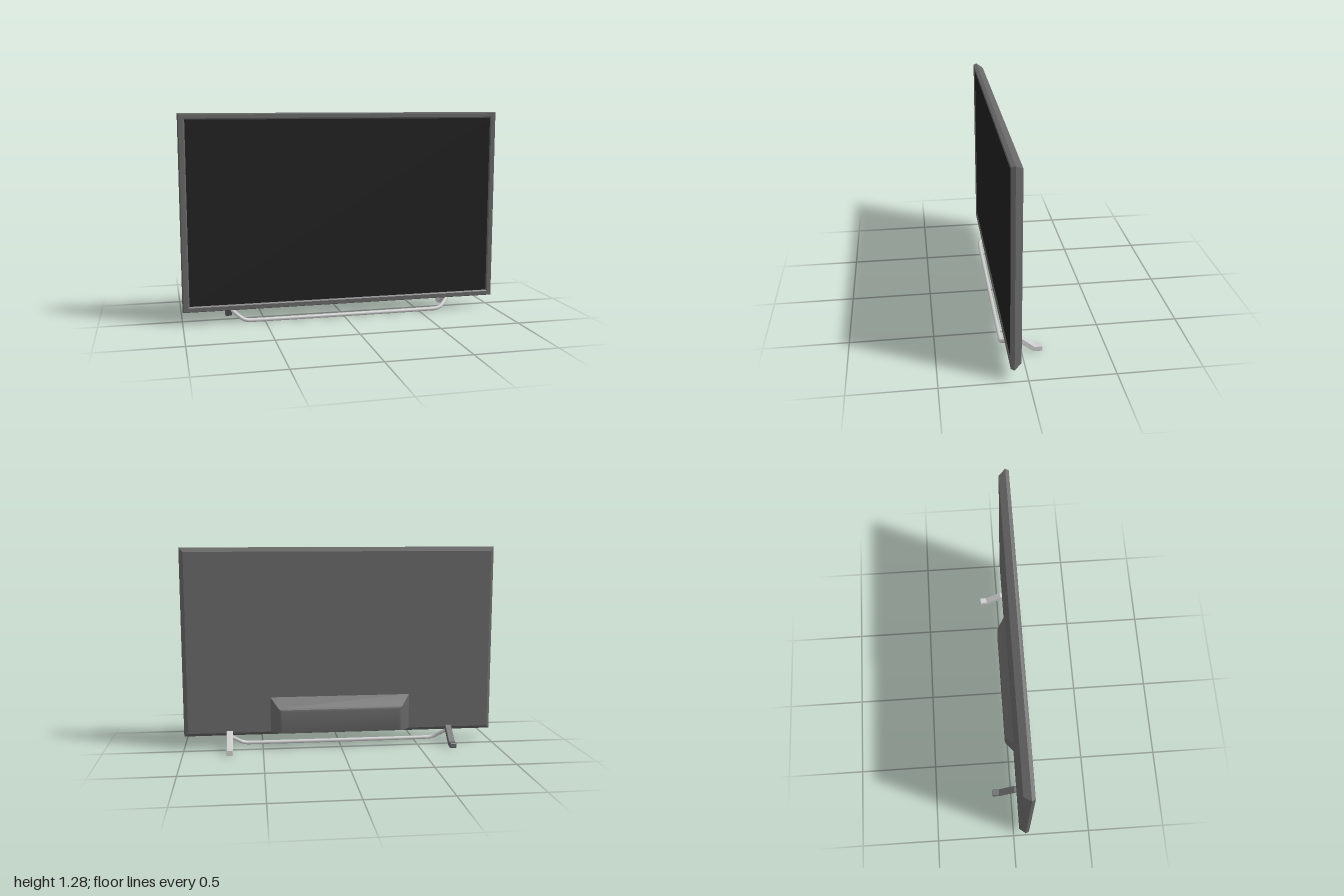
import * as THREE from 'three';
import { toCreasedNormals } from 'three/addons/utils/BufferGeometryUtils.js';

const paint = (color) => new THREE.MeshStandardMaterial({ color });
const darkGrey = paint(0x666666);
const black = paint(0x1e1e1e);
const grey = paint(0xcccccc);

function addMesh(parent, name, geometry, material) {
  const mesh = new THREE.Mesh(geometry, material);
  mesh.name = name;
  parent.add(mesh);
  return mesh;
}

// Joins rectangles [halfWidth, bottom, top, z], listed from back to front
function loftRectangles(rects, { back = false, front = false, crease = 0.1 } = {}) {
  const rings = rects.map(([w, y0, y1, z]) => [[-w, y0, z], [w, y0, z], [w, y1, z], [-w, y1, z]]);
  const positions = [];
  const quad = (a, b, c, d) => positions.push(...a, ...b, ...c, ...a, ...c, ...d);
  for (let i = 0; i < rings.length - 1; i++) {
    for (let k = 0; k < 4; k++) {
      const n = (k + 1) % 4;
      quad(rings[i][k], rings[i][n], rings[i + 1][n], rings[i + 1][k]);
    }
  }
  if (back) quad(...[...rings[0]].reverse());
  if (front) quad(...rings[rings.length - 1]);
  const geometry = new THREE.BufferGeometry();
  geometry.setAttribute('position', new THREE.Float32BufferAttribute(positions, 3));
  return toCreasedNormals(geometry, crease);
}

export function createModel() {
  const model = new THREE.Group();
  model.name = 'television';

  // Casing: chamfered back, thin front bevel, and a lip sloping in to the screen
  addMesh(model, 'casing', loftRectangles([
    [0.972, 0.107, 1.254, 0.037],
    [1.0, 0.08, 1.28, 0.079],
    [0.992, 0.088, 1.272, 0.1],
    [0.966, 0.112, 1.25, 0.1],
    [0.958, 0.12, 1.242, 0.094],
  ], { back: true }), darkGrey);

  // Screen panel
  const screen = addMesh(model, 'screen', new THREE.PlaneGeometry(1.916, 1.122), black);
  screen.position.set(0, 0.681, 0.094);

  // Electronics housing with softened back edges
  addMesh(model, 'rearHousing', loftRectangles([
    [0.375, 0.112, 0.245, -0.017],
    [0.388, 0.106, 0.256, -0.014],
    [0.4, 0.103, 0.266, -0.006],
    [0.45, 0.105, 0.333, 0.038],
  ], { back: true, crease: 0.6 }), darkGrey);

  // Rear feet: side profile drawn in (z, y), extruded across x
  const profile = new THREE.Shape([
    [0.04, 0.12], [0.022, 0.12], [-0.078, 0.038], [-0.119, 0.038], [-0.123, 0.033],
    [-0.123, 0.009], [-0.118, 0.004], [-0.072, 0.004], [0.04, 0.092],
  ].map(([z, y]) => new THREE.Vector2(-z, y)));
  const footGeometry = new THREE.ExtrudeGeometry(profile, {
    depth: 0.034, bevelEnabled: true, bevelThickness: 0.003, bevelSize: 0.003, bevelOffset: -0.003, bevelSegments: 1,
  });
  footGeometry.translate(0, 0, -0.017);
  footGeometry.rotateY(Math.PI / 2);
  for (const [name, x, material] of [['leftFoot', 0.71, grey], ['rightFoot', -0.71, darkGrey]]) {
    addMesh(model, name, footGeometry, material).position.x = x;
  }

  // Front support bar, mirrored about the centre
  const half = [
    [0.715, 0.105, 0.028], [0.7, 0.077, 0.056], [0.665, 0.048, 0.09],
    [0.635, 0.028, 0.107], [0.605, 0.02, 0.111], [0.57, 0.019, 0.111],
  ];
  const points = [...half, ...half.map(([x, y, z]) => [-x, y, z]).reverse()];
  const path = new THREE.CatmullRomCurve3(points.map((p) => new THREE.Vector3(...p)));
  addMesh(model, 'supportBar', new THREE.TubeGeometry(path, 160, 0.012, 12), grey);

  return model;
}
